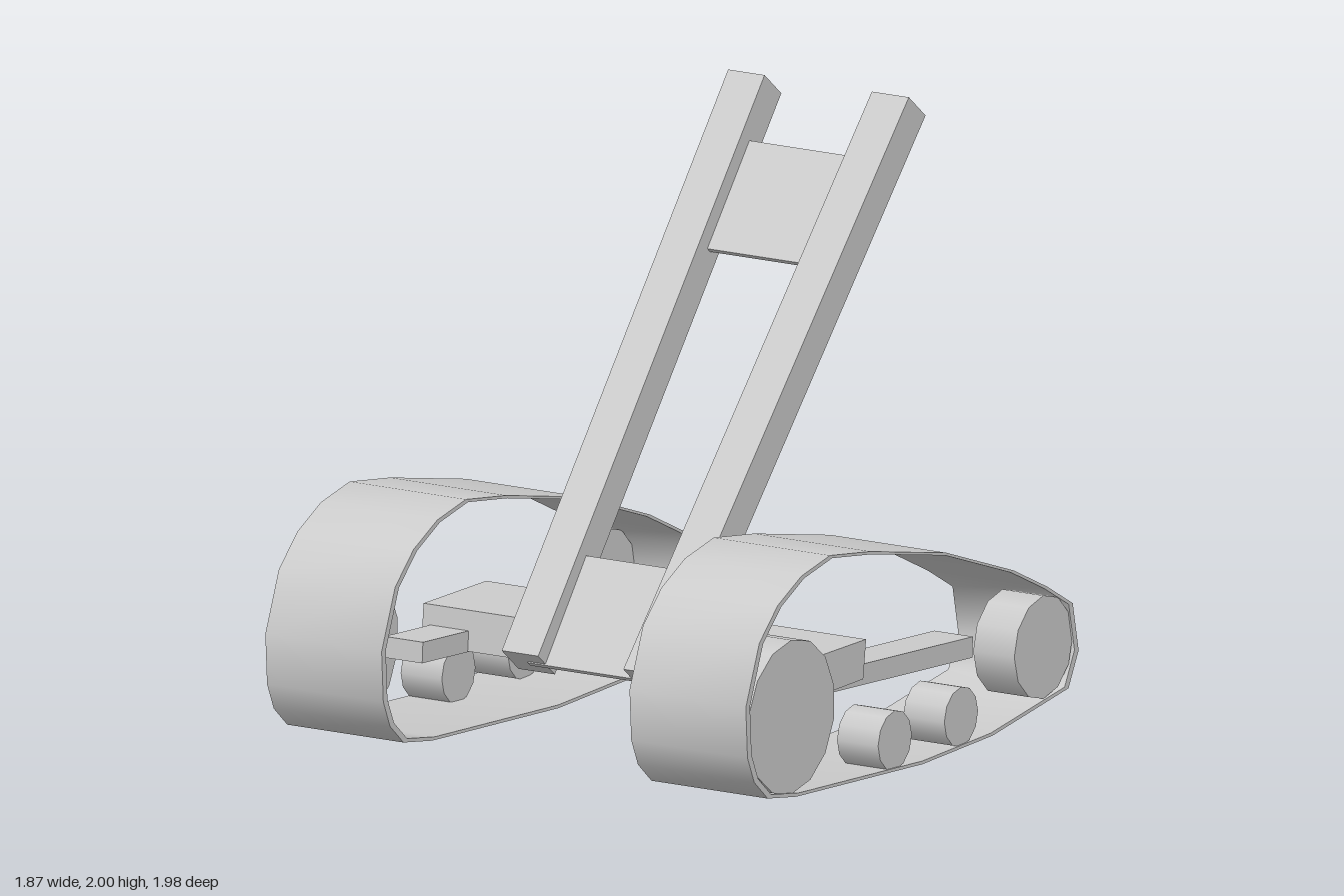
import * as THREE from 'three';
import { toCreasedNormals } from 'three/addons/utils/BufferGeometryUtils.js';

const material = new THREE.MeshStandardMaterial({ color: 0xcccccc });

function add(parent, name, geometry) {
  const mesh = new THREE.Mesh(geometry, material);
  mesh.name = name;
  parent.add(mesh);
}

// Cylinder lying along x, spanning x0 to x1, with a corner at the top
function axle(radius, sides, x0, x1, y, z) {
  return new THREE.CylinderGeometry(radius, radius, x1 - x0, sides)
    .rotateZ(Math.PI / 2).rotateX(Math.PI / 2).translate((x0 + x1) / 2, y, z);
}

// Side profile given as [z, y] pairs, extruded along x from x0 to x1.
// A hole must run in the opposite direction to the outline.
const toPoints = (list) => list.map(([z, y]) => new THREE.Vector2(-z, y));
function profile(points, holes, x0, x1) {
  const shape = new THREE.Shape(toPoints(points));
  shape.holes = holes.map((hole) => new THREE.Path(toPoints(hole)));
  return new THREE.ExtrudeGeometry(shape, { depth: x1 - x0, bevelEnabled: false })
    .rotateY(Math.PI / 2).translate(x0, 0, 0);
}

// Bar whose centre line runs from [x, y, z] a to b; its ends stay level in x
function bar(width, thickness, a, b) {
  const dy = b[1] - a[1], dz = b[2] - a[2], length = Math.hypot(dy, dz);
  const geometry = new THREE.BoxGeometry(width, thickness, length);
  const pos = geometry.attributes.position;
  for (let i = 0; i < pos.count; i++) {
    const t = pos.getZ(i) / length + 0.5;
    pos.setX(i, pos.getX(i) + a[0] + (b[0] - a[0]) * t);
  }
  geometry.rotateX(Math.atan2(-dy, dz)).translate(0, (a[1] + b[1]) / 2, (a[2] + b[2]) / 2);
  geometry.computeVertexNormals();
  return geometry;
}

export function createModel() {
  const model = new THREE.Group();
  model.name = 'trackedChassis';

  // Track belt outline and its slightly smaller inner loop
  const belt = [
    [0.99, 0.40], [0.91, 0.60], [0.80, 0.705], [0.66, 0.775], [0.49, 0.81], [0.25, 0.775],
    [-0.20, 0.68], [-0.60, 0.54], [-0.80, 0.445], [-0.95, 0.36], [-0.985, 0.195], [-0.925, 0.08],
    [-0.475, 0.012], [-0.06, 0], [0.69, 0.042], [0.86, 0.07], [0.94, 0.14], [0.98, 0.23],
  ];
  const beltInner = belt.map(([z, y]) => [z * 0.975, 0.39 + (y - 0.39) * 0.972]).reverse();

  // Wheels: name, radius, sides, y, z
  const wheels = [
    ['frontWheel', 0.258, 14, 0.312, 0.71],
    ['rearWheel', 0.173, 12, 0.245, -0.785],
    ['frontRoller', 0.1, 12, 0.11, 0.096],
    ['rearRoller', 0.1, 12, 0.11, -0.297],
  ];

  for (const [sideName, s] of [['left', 1], ['right', -1]]) {
    const side = new THREE.Group();
    side.name = sideName + 'Track';
    model.add(side);
    const span = (inner, outer) => (s > 0 ? [inner, outer] : [-outer, -inner]);

    add(side, 'trackBelt', toCreasedNormals(profile(belt, [beltInner], ...span(0.483, 0.936)), 1.2));
    for (const [name, radius, sides, y, z] of wheels) {
      add(side, name, axle(radius, sides, ...span(0.77, 0.93), y, z));
    }
    // Sloping rail that carries the wheels
    add(side, 'sideRail', bar(0.15, 0.07, [s * 0.635, 0.233, -0.7], [s * 0.635, 0.314, 0.63]));
  }

  // Cross beam and the drum resting on it
  add(model, 'crossBeam', profile([[0.35, 0.4], [-0.022, 0.4], [-0.005, 0.27], [0.362, 0.265]], [], -0.74, 0.74));
  add(model, 'crossDrum', axle(0.114, 10, -0.332, 0.318, 0.446, 0.121));

  // Leaning arms, the left one splayed outwards
  add(model, 'rightArm', bar(0.142, 0.128, [-0.253, 0.29, 0.47], [-0.267, 1.96, -0.895]));
  add(model, 'leftArm', bar(0.144, 0.128, [0.222, 0.29, 0.47], [0.294, 1.96, -0.895]));

  // Thin plates joining the arms
  add(model, 'lowerPlate', bar(0.46, 0.022, [-0.02, 0.285, 0.47], [-0.02, 0.602, 0.222]));
  add(model, 'upperPlate', bar(0.5, 0.022, [0, 1.482, -0.508], [0, 1.793, -0.762]));

  return model;
}
